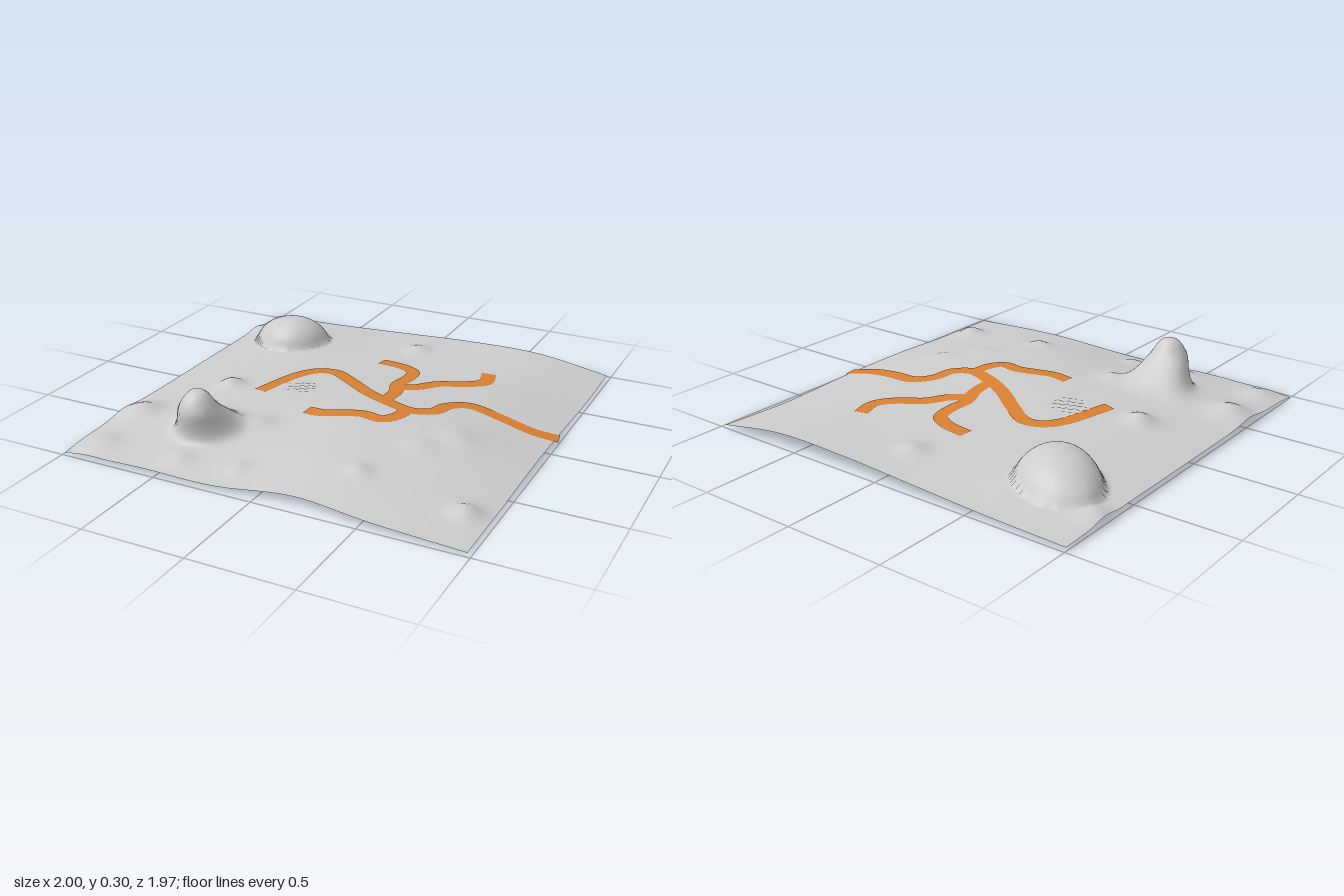
import * as THREE from 'three';

// Coarse terrain heights: rows run back (z = -1) to front (z = 1), columns left to right
const HEIGHTS = [
  [0.03, 0.04, 0.06, 0.08, 0.08, 0.02],
  [0.04, 0.08, 0.08, 0.085, 0.075, 0.01],
  [0.04, 0.085, 0.1, 0.105, 0.09, 0.025],
  [0.04, 0.09, 0.115, 0.13, 0.105, 0.03],
  [0.04, 0.08, 0.09, 0.11, 0.075, 0.02],
  [0.012, 0.03, 0.025, 0.05, 0.038, 0.02],
];

// Small hillocks: x, z, radius, height
const HILLOCKS = [
  [0, -0.75, 0.08, 0.025], [-0.64, 0.12, 0.08, 0.04], [-0.27, 0.48, 0.09, 0.025],
  [-0.9, 0.53, 0.12, 0.045], [-0.6, 0.5, 0.1, 0.025], [-0.88, 0.87, 0.12, 0.03],
  [-0.45, 0.86, 0.08, 0.02], [-0.17, 0.84, 0.07, 0.018], [0.35, 0.68, 0.07, 0.022],
  [0.87, 0.72, 0.08, 0.038], [0.63, 0.2, 0.1, 0.015], [0.5, 0.36, 0.1, 0.012],
  [-0.95, -0.72, 0.09, 0.025],
];

// Smooth interpolation through a row of values
function spline(values, t) {
  const last = values.length - 1;
  const i = Math.min(last - 1, Math.max(0, Math.floor(t)));
  const f = t - i;
  const p1 = values[i], p2 = values[i + 1];
  const p0 = i > 0 ? values[i - 1] : 2 * p1 - p2;
  const p3 = i + 2 <= last ? values[i + 2] : 2 * p2 - p1;
  return p1 + 0.5 * f * (p2 - p0 + f * (2 * p0 - 5 * p1 + 4 * p2 - p3 + f * (3 * (p1 - p2) + p3 - p0)));
}

// Rolling ground without the two large landforms
function groundHeight(x, z) {
  const u = (x + 1) * 2.5, v = (z + 1) * 2.5;
  let y = spline(HEIGHTS.map((row) => spline(row, u)), v);
  for (const [cx, cz, r, h] of HILLOCKS) {
    y += h * Math.exp(-1.6 * (Math.hypot(x - cx, z - cz) / r) ** 2);
  }
  // cracked rocky patch beside the upper river
  const patch = Math.max(0, 1 - Math.hypot(x + 0.29, z - 0.03) / 0.13);
  y += 0.012 * patch * Math.sin(x * 95 + z * 40) * Math.sin(z * 110 - x * 30);
  return Math.max(0, y);
}

// Dome, steep at the front right, with a tail trailing to the back left
function domeShape(x, z) {
  const dx = x + 0.67, dz = z + 0.59;
  const along = -0.87 * dx - 0.5 * dz, across = 0.5 * dx - 0.87 * dz;
  const d = Math.hypot(along / (along > 0 ? 0.26 : 0.19), across / 0.19);
  return Math.max(0, 1 - d ** 2.2) ** 0.65;
}

// Rock stack with a flared foot
function stackShape(x, z) {
  return Math.exp(-((Math.hypot(x + 0.47, z - 0.57) / 0.119) ** 2.8));
}

function makeTerrain() {
  const n = 120;
  const geometry = new THREE.PlaneGeometry(1.98, 1.97, n, n);
  geometry.rotateX(-Math.PI / 2).translate(-0.01, 0, -0.005);
  const pos = geometry.attributes.position;
  for (let i = 0; i < pos.count; i++) {
    const x = pos.getX(i), z = pos.getZ(i);
    const dome = domeShape(x, z), stack = stackShape(x, z);
    // the stack leans forward, the dome bulges slightly, the front edge is drawn in
    const lean = 0.1 * Math.min(1, stack * 1.6) + 0.015 * dome;
    const edge = 0.045 * Math.exp(-(((x - 0.15) / 0.28) ** 2)) * Math.max(0, (z - 0.6) / 0.4);
    pos.setXYZ(i, x, groundHeight(x, z) + 0.135 * dome + 0.22 * stack, z + lean - edge);
  }
  geometry.computeVertexNormals();
  const mesh = new THREE.Mesh(geometry, new THREE.MeshStandardMaterial({ color: 0xcccccc, side: THREE.DoubleSide }));
  mesh.name = 'terrain';
  return mesh;
}

// Flat ribbon draped over the ground along a curve of [x, z] points
function makeRiver(name, points, startWidth, endWidth, material) {
  const curve = new THREE.CatmullRomCurve3(points.map(([x, z]) => new THREE.Vector3(x, 0, z)));
  const steps = Math.ceil(curve.getLength() / 0.015), lanes = 6;
  const vertices = [], index = [];
  for (let i = 0; i <= steps; i++) {
    const p = curve.getPointAt(i / steps), t = curve.getTangentAt(i / steps);
    const width = THREE.MathUtils.lerp(startWidth, endWidth, i / steps);
    for (let j = 0; j <= lanes; j++) {
      const s = (j / lanes - 0.5) * width;
      const x = p.x - t.z * s, z = p.z + t.x * s;
      vertices.push(x, groundHeight(x, z) + 0.003, z);
      if (i < steps && j < lanes) {
        const a = i * (lanes + 1) + j, b = a + lanes + 1;
        index.push(a, a + 1, b, b, a + 1, b + 1);
      }
    }
  }
  const geometry = new THREE.BufferGeometry();
  geometry.setAttribute('position', new THREE.Float32BufferAttribute(vertices, 3));
  geometry.setIndex(index);
  geometry.computeVertexNormals();
  const mesh = new THREE.Mesh(geometry, material);
  mesh.name = name;
  return mesh;
}

export function createModel() {
  const model = new THREE.Group();
  model.name = 'landscape';
  model.add(makeTerrain());

  const orange = new THREE.MeshStandardMaterial({ color: 0xd98032, side: THREE.DoubleSide });
  const rivers = new THREE.Group();
  rivers.name = 'rivers';
  rivers.add(
    makeRiver('mainRiver', [
      [-0.455, 0.145], [-0.42, 0], [-0.38, -0.13], [-0.32, -0.21], [-0.23, -0.23], [-0.1, -0.15], [0.05, -0.04],
      [0.2, 0.035], [0.33, 0.07], [0.42, 0.02], [0.45, -0.08], [0.53, -0.15], [0.7, -0.13], [0.87, -0.11], [0.995, -0.135],
    ], 0.07, 0.075, orange),
    makeRiver('backBranch', [
      [0.165, 0], [0.16, -0.12], [0.125, -0.22], [0.135, -0.33], [0.12, -0.42], [0.04, -0.47], [-0.09, -0.49],
    ], 0.07, 0.07, orange),
    makeRiver('backRightBranch', [
      [0.14, -0.18], [0.22, -0.23], [0.3, -0.33], [0.42, -0.4], [0.49, -0.48], [0.47, -0.595],
    ], 0.075, 0.075, orange),
    makeRiver('frontBranch', [
      [0.31, 0.06], [0.3, 0.16], [0.25, 0.23], [0.15, 0.22], [0.05, 0.25], [-0.03, 0.28], [-0.12, 0.275],
    ], 0.07, 0.075, orange),
  );
  model.add(rivers);
  return model;
}
